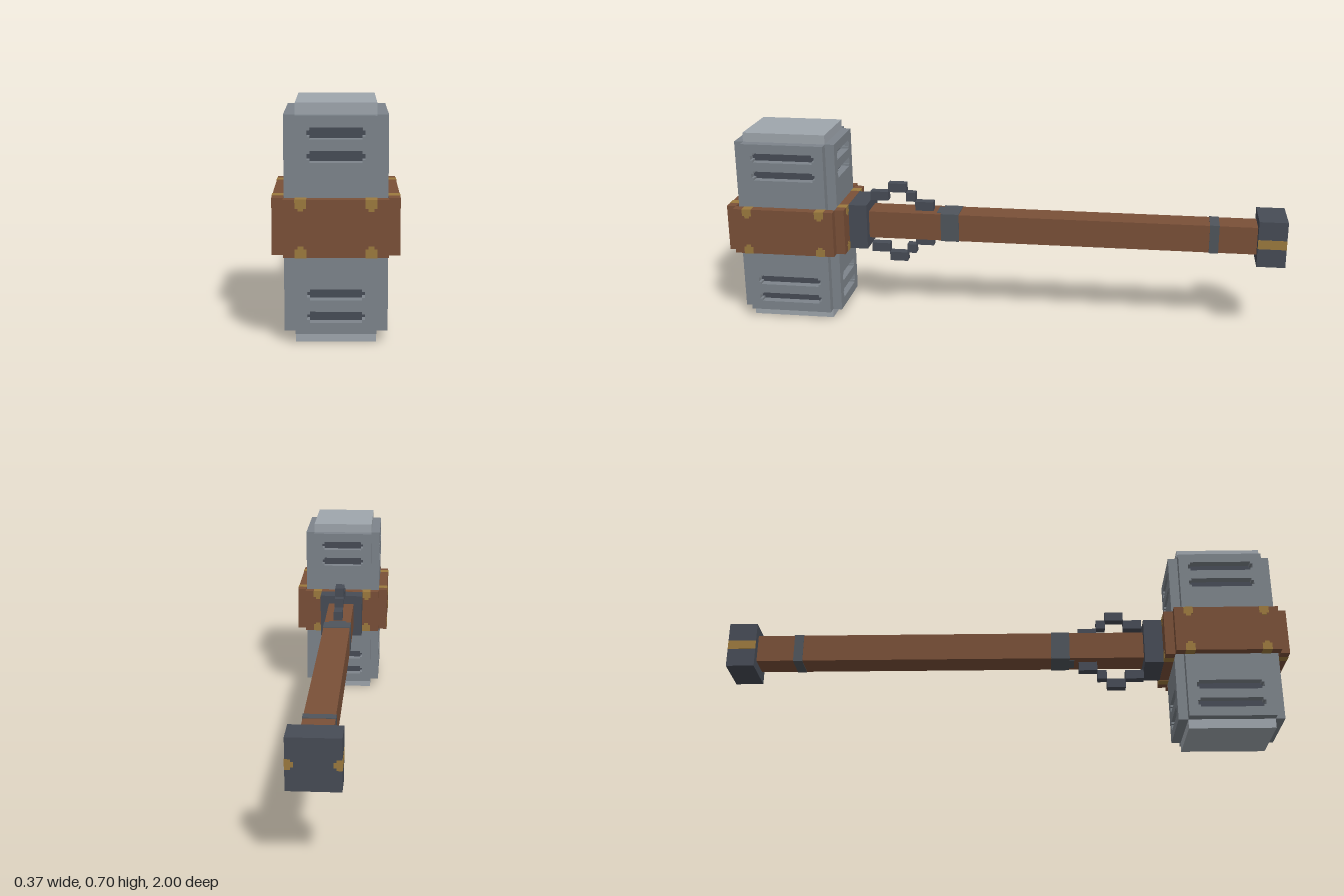
import * as THREE from 'three';

const U = 1 / 30;      // one block
const P = U / 4;       // one detail step
const MID = 0.35;      // height of the handle axis
const CZ = 23.5 * U;   // centre of the head in z

const mat = (name, color) => {
  const m = new THREE.MeshStandardMaterial({ color });
  m.name = name;
  return m;
};

export function createModel() {
  const steel = mat('steel', 0x7d848b);
  const paleSteel = mat('pale steel', 0x9fa6ad);
  const darkIron = mat('dark iron', 0x474c56);
  const iron = mat('iron', 0x4f555c);
  const wood = mat('brown', 0x7a5038);
  const brass = mat('brass', 0x9c7a3e);

  const root = new THREE.Group();
  root.name = 'warHammer';

  const add = (parent, name, geometry, material, x = 0, y = 0, z = 0) => {
    const m = new THREE.Mesh(geometry, material);
    m.name = name;
    m.position.set(x, y, z);
    parent.add(m);
    return m;
  };
  // box given by its lower and upper limits
  const box = (parent, name, material, [x0, x1], [y0, y1], [z0, z1]) =>
    add(parent, name, new THREE.BoxGeometry(x1 - x0, y1 - y0, z1 - z0), material,
      (x0 + x1) / 2, (y0 + y1) / 2, (z0 + z1) / 2);
  const points = (list) => list.map(([x, y]) => new THREE.Vector2(x, y));
  const extrude = (shape, depth) => new THREE.ExtrudeGeometry(shape, { depth, bevelEnabled: false });

  // ---- head ----
  const head = new THREE.Group();
  head.name = 'head';
  root.add(head);
  box(head, 'core', paleSteel, [-3.5 * U, 3.5 * U], [0, 21 * U], [19 * U, 28 * U]);

  // rectangle with stepped corners, used for the vent openings
  const slotPath = (w, h, cy) => {
    const a = w / 2, b = h / 2;
    return new THREE.Path(points([
      [-a + P, -b], [a - P, -b], [a - P, -b + P], [a, -b + P], [a, b - P], [a - P, b - P],
      [a - P, b], [-a + P, b], [-a + P, b - P], [-a, b - P], [-a, -b + P], [-a + P, -b + P],
    ].map(([x, y]) => [x, y + cy])));
  };
  // brass clip that narrows towards its tip
  const clipShape = new THREE.Shape(points([
    [-2 * P, 0.001], [-2 * P, -3 * P], [-P, -3 * P], [-P, -4 * P],
    [P, -4 * P], [P, -3 * P], [2 * P, -3 * P], [2 * P, 0.001],
  ]));
  const clipGeometry = extrude(clipShape, U + 0.001);

  // each side of the head: armour panel with four vents, band plate and clips
  const sides = [
    { name: 'front', angle: 0, half: 3.5, reach: 4.5 },
    { name: 'left', angle: Math.PI / 2, half: 4.5, reach: 3.5 },
    { name: 'back', angle: Math.PI, half: 3.5, reach: 4.5 },
    { name: 'right', angle: -Math.PI / 2, half: 4.5, reach: 3.5 },
  ];
  for (const { name, angle, half, reach } of sides) {
    const side = new THREE.Group();
    side.name = name + 'Side';
    side.position.set(0, MID, CZ);
    side.rotation.y = angle;
    head.add(side);

    const w = half * U, h = 9.5 * U, z = reach * U, slotWidth = (2 * half - 2) * U;
    const panel = new THREE.Shape(points([[-w, -h], [w, -h], [w, h], [-w, h]]));
    for (const y of [8 * U, 6 * U, -6 * U, -8 * U]) {
      panel.holes.push(slotPath(slotWidth, U, y));
      add(side, 'ventBack', new THREE.BoxGeometry(slotWidth, U, 0.004), darkIron, 0, y, z + 0.001);
    }
    add(side, 'panel', extrude(panel, U), steel, 0, 0, z);

    const b = w + U;
    box(side, 'bandPlate', wood, [-b, b], [-2.5 * U, 2.5 * U], [z + U, z + 2 * U]);
    for (const sx of [-1, 1]) for (const top of [true, false]) {
      const clip = add(side, 'bandClip', clipGeometry, brass, sx * (half - 0.5) * U,
        (top ? 2.5 : -2.5) * U, z + U);
      if (!top) {
        clip.rotation.z = Math.PI;
      }
    }
  }

  // ---- handle ----
  const handle = new THREE.Group();
  handle.name = 'handle';
  root.add(handle);
  const centred = (name, material, hx, hy, z0, z1) =>
    box(handle, name, material, [-hx, hx], [MID - hy, MID + hy], [z0, z1]);
  centred('shaft', wood, 1.5 * U, 1.5 * U, -27 * U, 15 * U);
  centred('socket', darkIron, 2.5 * U, 2.5 * U - 0.0005, 15 * U, 18 * U - 0.0005).scale.y = 1.002;
  centred('collar', iron, 1.5 * U + 0.002, 1.5 * U + 0.002, 5 * U, 7 * U);
  centred('collarTip', iron, U, 1.5 * U + 0.002, 7 * U, 7.5 * U);
  centred('gripRing', iron, 1.5 * U + 0.002, 1.5 * U + 0.002, -23 * U, -22 * U);

  // ---- stepped guards above and below the shaft ----
  const steps = [[13, 15, 2.5], [11, 13, 3.5], [10, 11, 2.5], [8, 10, 1.5]];
  for (const s of [1, -1]) for (const [z0, z1, y] of steps) {
    add(handle, 'guardBlock', new THREE.BoxGeometry(U, U, (z1 - z0) * U), darkIron,
      0, MID + s * (y + 0.5) * U, (z0 + z1) / 2 * U);
  }

  // ---- pommel with brass stripes on the sides and tips on the end ----
  centred('pommel', darkIron, 2.5 * U, 2.5 * U, -30 * U, -27 * U);
  const tip = new THREE.ShapeGeometry(new THREE.Shape(points([
    [0, -2 * P], [2 * P, -2 * P], [2 * P, -P], [3 * P, -P],
    [3 * P, P], [2 * P, P], [2 * P, 2 * P], [0, 2 * P],
  ])));
  tip.translate(-2.5 * U, 0, 0);
  const tipMaterial = brass;
  for (const s of [1, -1]) {
    box(handle, 'pommelStripe', brass, s > 0 ? [2.5 * U - 0.002, 2.5 * U + 0.001] : [-2.5 * U - 0.001, -2.5 * U + 0.002],
      [MID - U / 2, MID + U / 2], [-30 * U, -27 * U]);
    // turned to face backwards; the second one is spun to the other edge
    const t = add(handle, 'pommelTip', tip, tipMaterial, 0, MID, -30 * U - 0.001);
    t.rotation.set(0, Math.PI, s > 0 ? 0 : Math.PI);
  }
  return root;
}
